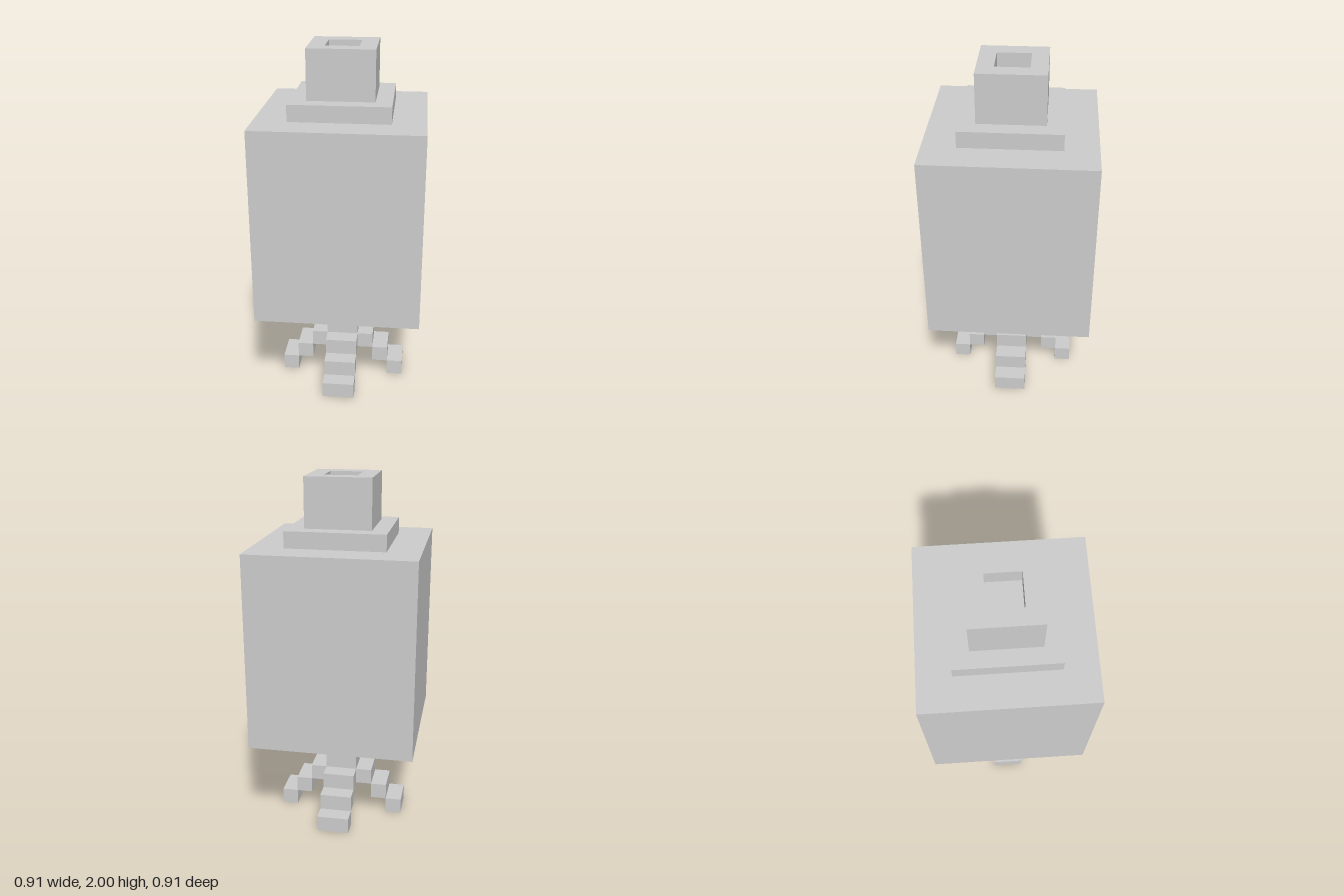
import * as THREE from 'three';

const U = 1 / 11; // one block unit; the model is 22 units tall
const material = new THREE.MeshStandardMaterial({ color: 0xcccccc, flatShading: true });

// Box given in block units, standing on height y
function block(name, w, h, d, x, y, z) {
  const mesh = new THREE.Mesh(new THREE.BoxGeometry(w * U, h * U, d * U), material);
  mesh.position.set(x * U, (y + h / 2) * U, z * U);
  mesh.name = name;
  return mesh;
}

function square(PathType, half) {
  const s = half * U;
  return new PathType([[-s, -s], [s, -s], [s, s], [-s, s]].map(([x, y]) => new THREE.Vector2(x, y)));
}

export function createModel() {
  const model = new THREE.Group();
  model.name = 'blockVessel';

  // Body, collar, neck and stem stacked on the centre axis
  model.add(
    block('stem', 2, 4, 2, 0, 2, 0),
    block('body', 10, 12, 10, 0, 6, 0),
    block('collar', 6, 1, 6, 0, 18, 0),
    block('neck', 4, 2, 4, 0, 19, 0),
  );

  // Square rim around the shallow opening
  const ring = square(THREE.Shape, 2);
  ring.holes.push(square(THREE.Path, 1));
  const rimGeometry = new THREE.ExtrudeGeometry(ring, { depth: U, bevelEnabled: false });
  rimGeometry.rotateX(-Math.PI / 2);
  const rim = new THREE.Mesh(rimGeometry, material);
  rim.position.y = 21 * U;
  rim.name = 'rim';
  model.add(rim);

  // Four legs, each stepping outward and down in three blocks
  for (let i = 0; i < 4; i++) {
    const leg = new THREE.Group();
    leg.name = 'leg' + (i + 1);
    for (let s = 0; s < 3; s++) {
      leg.add(block('legStep' + (s + 1), 1, 1, 2, 1.5 + s, 2 - s, 0));
    }
    leg.rotation.y = i * Math.PI / 2;
    model.add(leg);
  }

  return model;
}
